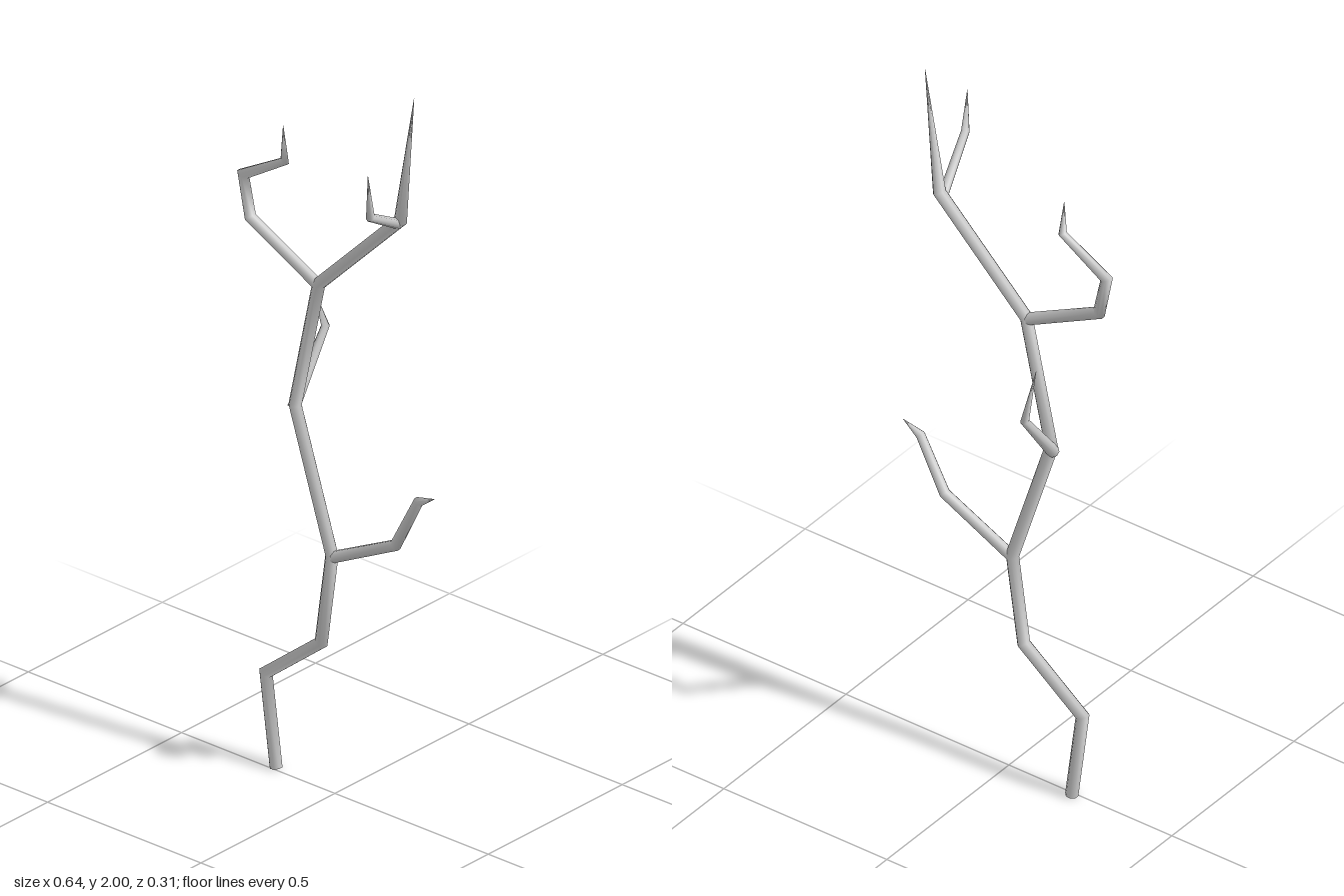
import * as THREE from 'three';

const SIDES = 8;
const Z = -0.0095; // plane in which the main stem grows

// Sweeps a faceted round section along [x, y, z, radius] points with mitred joints.
function limb(name, points, material) {
  const P = points.map(p => new THREE.Vector3(p[0], p[1], p[2]));
  const last = P.length - 1;
  const dirs = P.slice(1).map((p, i) => p.clone().sub(P[i]).normalize());
  const u = new THREE.Vector3(0, 0, 1);
  u.addScaledVector(dirs[0], -u.dot(dirs[0])).normalize();
  const v = dirs[0].clone().cross(u);

  let ring = [];
  for (let j = 0; j < SIDES; j++) {
    const a = ((j + 0.5) / SIDES) * Math.PI * 2;
    ring.push(u.clone().multiplyScalar(Math.cos(a)).addScaledVector(v, Math.sin(a)));
  }
  const pos = [], index = [];
  const put = (i, o) => pos.push(...P[i].clone().addScaledVector(o, points[i][3]).toArray());
  const base = ring;
  base.forEach(o => put(0, o));

  for (let i = 1; i <= last; i++) {
    // slide the section along the segment onto the plane that halves the bend
    const d = dirs[i - 1];
    const n = d.clone().add(dirs[Math.min(i, last - 1)]).normalize();
    ring = ring.map(o => o.clone().addScaledVector(d, -o.dot(n) / d.dot(n)));
    ring.forEach(o => put(i, o));
    for (let j = 0; j < SIDES; j++) {
      const k = (j + 1) % SIDES, lo = (i - 1) * SIDES, hi = i * SIDES;
      index.push(lo + j, lo + k, hi + j, lo + k, hi + k, hi + j);
    }
  }
  // flat cap at the foot, with its own corners for a sharp edge
  const c = pos.length / 3;
  base.forEach(o => put(0, o));
  for (let j = 1; j < SIDES - 1; j++) index.push(c, c + j + 1, c + j);

  const g = new THREE.BufferGeometry();
  g.setAttribute('position', new THREE.Float32BufferAttribute(pos, 3));
  g.setIndex(index);
  g.computeVertexNormals();
  const mesh = new THREE.Mesh(g, material);
  mesh.name = name;
  return mesh;
}

export function createModel() {
  const group = new THREE.Group();
  group.name = 'bareBranch';
  const material = new THREE.MeshStandardMaterial({ color: 0xcccccc });
  const R = 0.0168, TIP = 0.0005;

  const limbs = {
    mainStem: [
      [-0.2, 0.002, Z, R], [-0.233, 0.252, Z, R], [-0.053, 0.395, Z, R], [-0.018, 0.646, Z, R],
      [-0.138, 1.022, Z, R], [-0.061, 1.38, Z, R], [0.206, 1.645, Z, R], [0.25, 1.995, Z, TIP],
    ],
    lowerLeftTwig: [
      [-0.018, 0.641, Z, 0.0155], [0.19, 0.744, Z, 0.0145], [0.264, 0.888, Z, 0.0125], [0.317, 0.913, Z, TIP],
    ],
    upperRightTwig: [
      [-0.061, 1.376, Z, 0.016], [-0.284, 1.49, Z, 0.0155], [-0.307, 1.601, Z, 0.0145],
      [-0.172, 1.681, Z, 0.0105], [-0.177, 1.778, Z, TIP],
    ],
    backTwig: [
      [-0.143, 1.012, Z, 0.0165], [-0.155, 1.183, -0.142, 0.0105], [-0.155, 1.307, -0.095, TIP],
    ],
    frontTwig: [
      [0.197, 1.632, Z, 0.0135], [0.243, 1.724, 0.146, 0.011], [0.245, 1.842, 0.157, TIP],
    ],
  };
  for (const [name, points] of Object.entries(limbs)) group.add(limb(name, points, material));
  return group;
}
